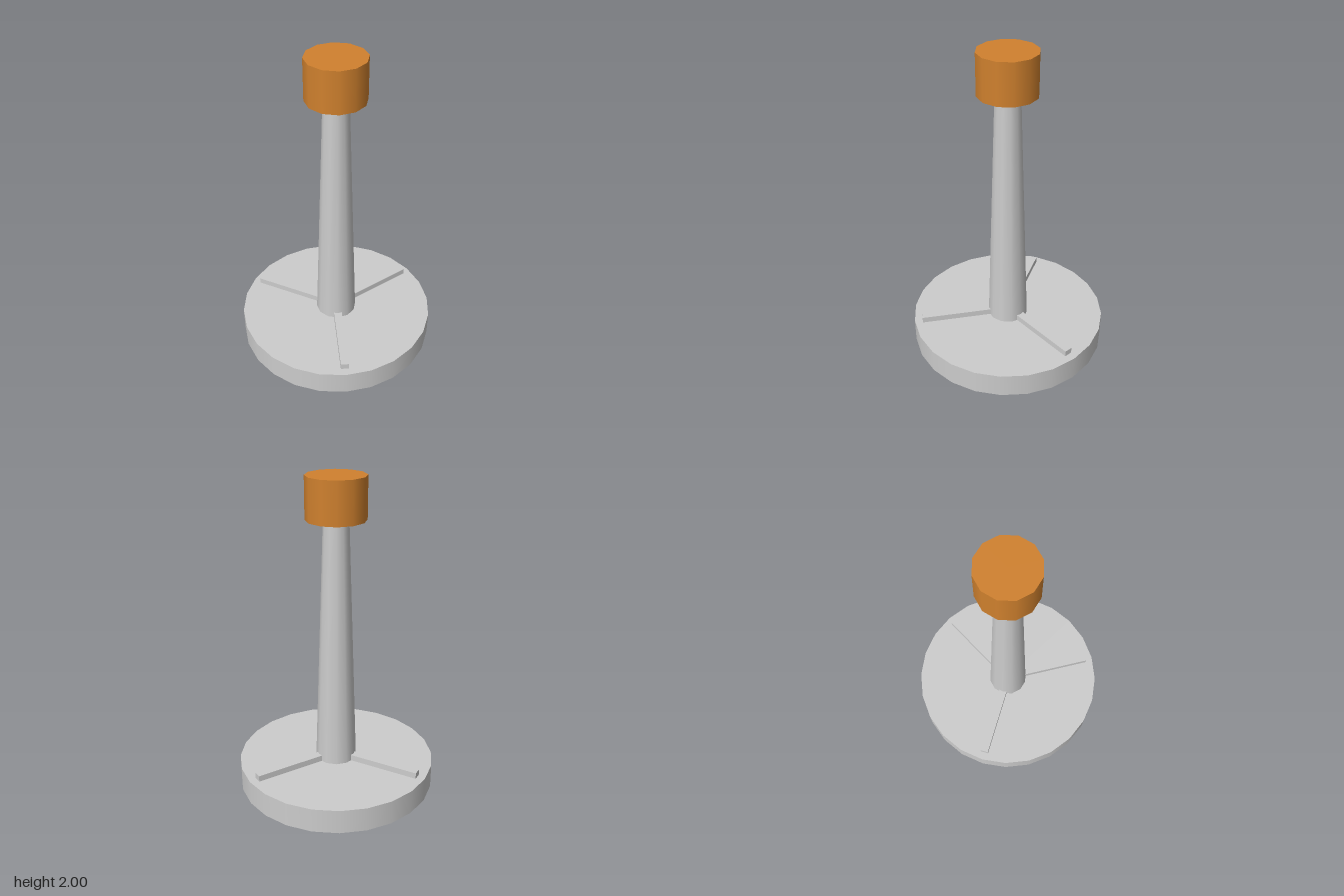
import * as THREE from 'three';

export function createModel() {
  const model = new THREE.Group();
  model.name = 'stand';

  const grey = new THREE.MeshStandardMaterial({ name: 'light grey', color: 0xcccccc });
  const orange = new THREE.MeshStandardMaterial({ name: 'orange', color: 0xd0812e });

  // Upright cylinder or cone section spanning y0 to y1
  const addRound = (name, material, rTop, rBottom, y0, y1, sides) => {
    const mesh = new THREE.Mesh(
      new THREE.CylinderGeometry(rTop, rBottom, y1 - y0, sides), material);
    mesh.name = name;
    mesh.position.y = (y0 + y1) / 2;
    model.add(mesh);
  };

  addRound('base', grey, 0.632, 0.632, 0, 0.158, 24);
  addRound('column', grey, 0.078, 0.131, 0.158, 1.74, 12);
  addRound('cap', orange, 0.184, 0.184, 1.74, 2, 12);

  // Three low ribs radiating from the column across the base
  const ribLength = 0.58;
  const ribGeometry = new THREE.BoxGeometry(ribLength, 0.04, 0.052);
  ribGeometry.translate(ribLength / 2, 0.177, 0);
  for (let i = 0; i < 3; i++) {
    const rib = new THREE.Mesh(ribGeometry, grey);
    rib.name = `rib${i + 1}`;
    rib.rotation.y = (i * Math.PI * 2) / 3;
    model.add(rib);
  }

  return model;
}
